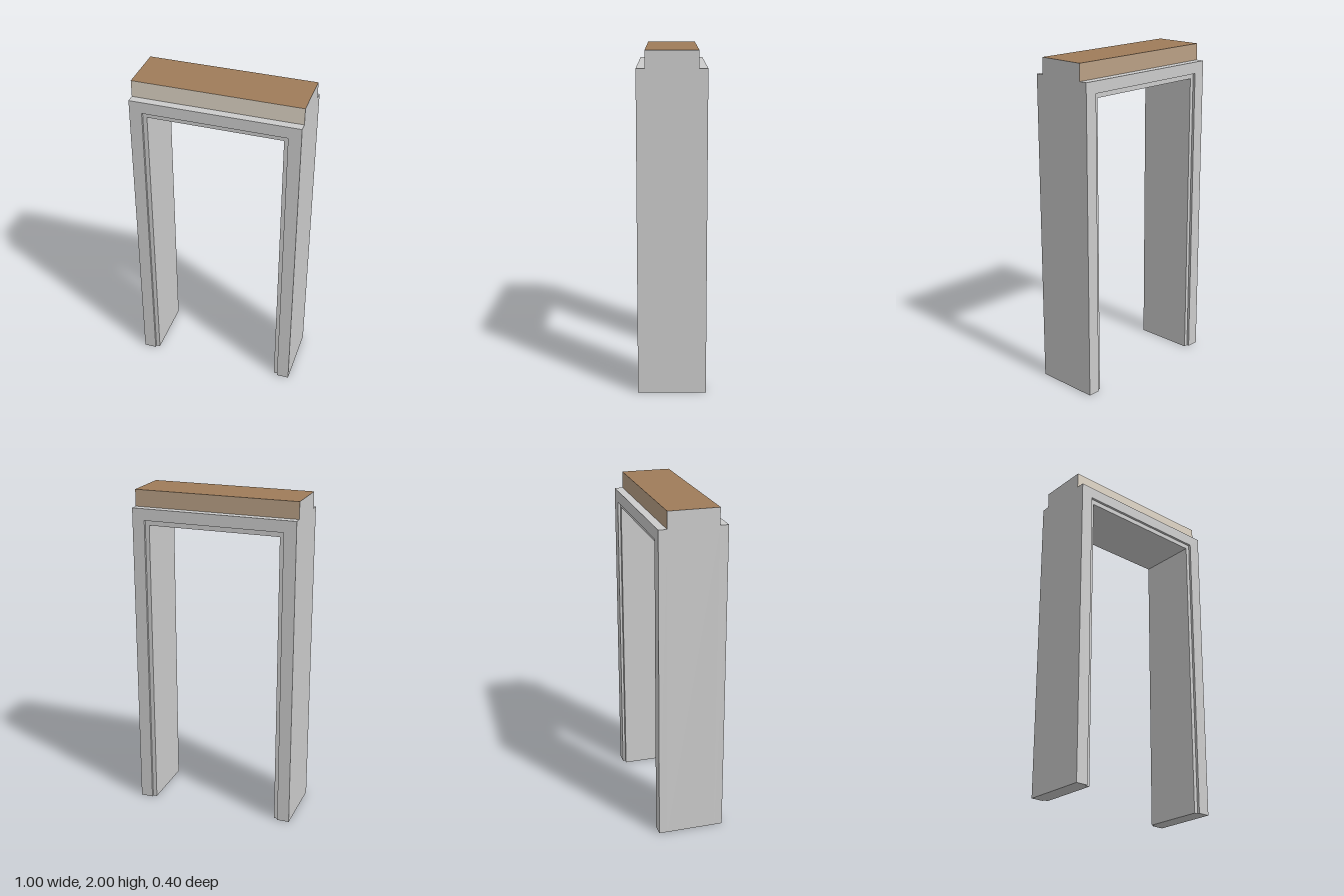
import * as THREE from 'three';

const grey = new THREE.MeshStandardMaterial({ color: 0xcccccc });
const brown = new THREE.MeshStandardMaterial({ color: 0x9f7c5a });
const cream = new THREE.MeshStandardMaterial({ color: 0xdcd2c2 });
const tan = new THREE.MeshStandardMaterial({ color: 0xb9a085 });

// Upside-down U standing on y = 0, extruded from z0 to z1
function portal(name, outerX, outerY, innerX, innerY, z0, z1) {
  const shape = new THREE.Shape([
    [-outerX, 0], [-innerX, 0], [-innerX, innerY], [innerX, innerY],
    [innerX, 0], [outerX, 0], [outerX, outerY], [-outerX, outerY],
  ].map(([x, y]) => new THREE.Vector2(x, y)));
  const geometry = new THREE.ExtrudeGeometry(shape, { depth: z1 - z0, bevelEnabled: false });
  geometry.translate(0, 0, z0);
  const mesh = new THREE.Mesh(geometry, grey);
  mesh.name = name;
  return mesh;
}

export function createModel() {
  const model = new THREE.Group();
  model.name = 'doorway';

  // Wall core between the casings
  model.add(portal('wallCore', 0.5, 1.9, 0.425, 1.83, -0.15, 0.15));

  // Casings on both faces
  model.add(portal('frontCasing', 0.5, 1.9, 0.425, 1.83, 0.15, 0.2));
  model.add(portal('backCasing', 0.5, 1.9, 0.425, 1.83, -0.2, -0.15));

  // Jamb lining, set slightly back from the casings
  model.add(portal('jambLining', 0.425, 1.83, 0.4, 1.8, -0.185, 0.185));

  // Strip of wall above the casings: plain ends, painted faces, brown top
  const header = new THREE.Mesh(
    new THREE.BoxGeometry(1, 0.1, 0.3),
    [grey, grey, brown, grey, cream, tan],
  );
  header.position.y = 1.95;
  header.name = 'wallHeader';
  model.add(header);

  return model;
}
